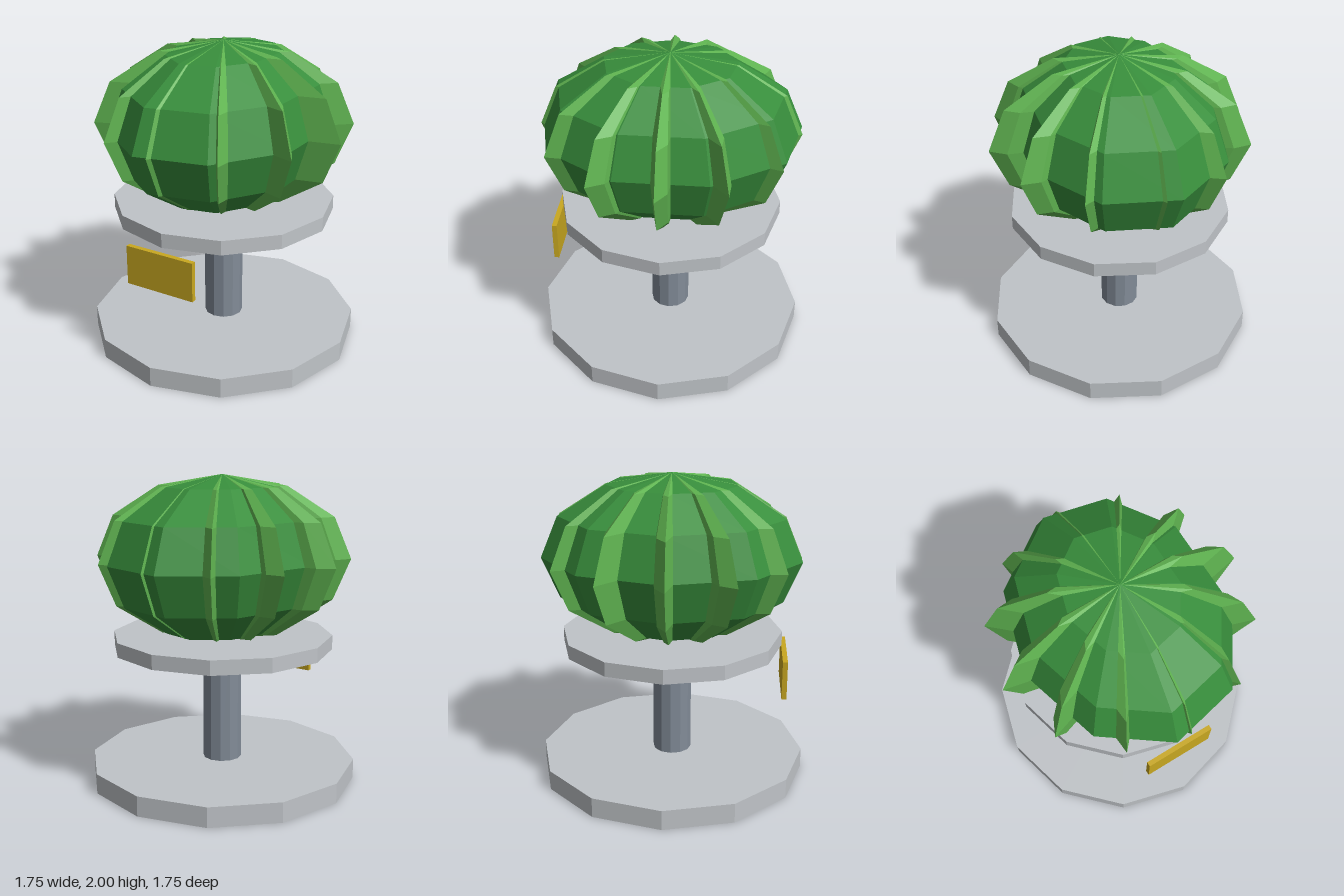
import * as THREE from 'three';

const mat = (name, color) => {
  const m = new THREE.MeshStandardMaterial({ color, flatShading: true });
  m.name = name;
  return m;
};

export function createModel() {
  const bodyGreen = mat('dark green', 0x388e3c);
  const ribGreen = mat('light green', 0x5fb350);
  const grey = mat('light grey', 0xc0c4c8);
  const steel = mat('steel grey', 0x828c98);
  const gold = mat('gold', 0xc9a820);

  const model = new THREE.Group();
  model.name = 'ribbedPlantOnStand';
  const add = (name, geometry, material, y, z = 0, parent = model) => {
    const mesh = new THREE.Mesh(geometry, material);
    mesh.name = name;
    mesh.position.set(0, y, z);
    parent.add(mesh);
    return mesh;
  };
  // Twelve-sided upright disc or post between two heights
  const disc = (name, radius, y0, y1, material) =>
    add(name, new THREE.CylinderGeometry(radius, radius, y1 - y0, 12), material, (y0 + y1) / 2);

  // Stand
  disc('base', 0.876, 0, 0.13, grey);
  disc('post', 0.126, 0.13, 0.88, steel);
  disc('platform', 0.717, 0.88, 0.973, grey);
  add('namePlate', new THREE.BoxGeometry(0.474, 0.255, 0.032), gold, 0.722, 0.734);

  // Plant: a faceted body crossed by six thin lobes, giving twelve ribs
  const plant = new THREE.Group();
  plant.name = 'plant';
  model.add(plant);
  const lobe = (width) => new THREE.SphereGeometry(1, 9, 6).scale(width, 0.53, 0.835);
  add('body', lobe(0.666), bodyGreen, 1.47, 0, plant);
  const ribShape = lobe(0.1);
  for (let i = 0; i < 6; i++) {
    add('rib', ribShape, ribGreen, 1.47, 0, plant).rotation.y = (i * Math.PI) / 6;
  }
  return model;
}
